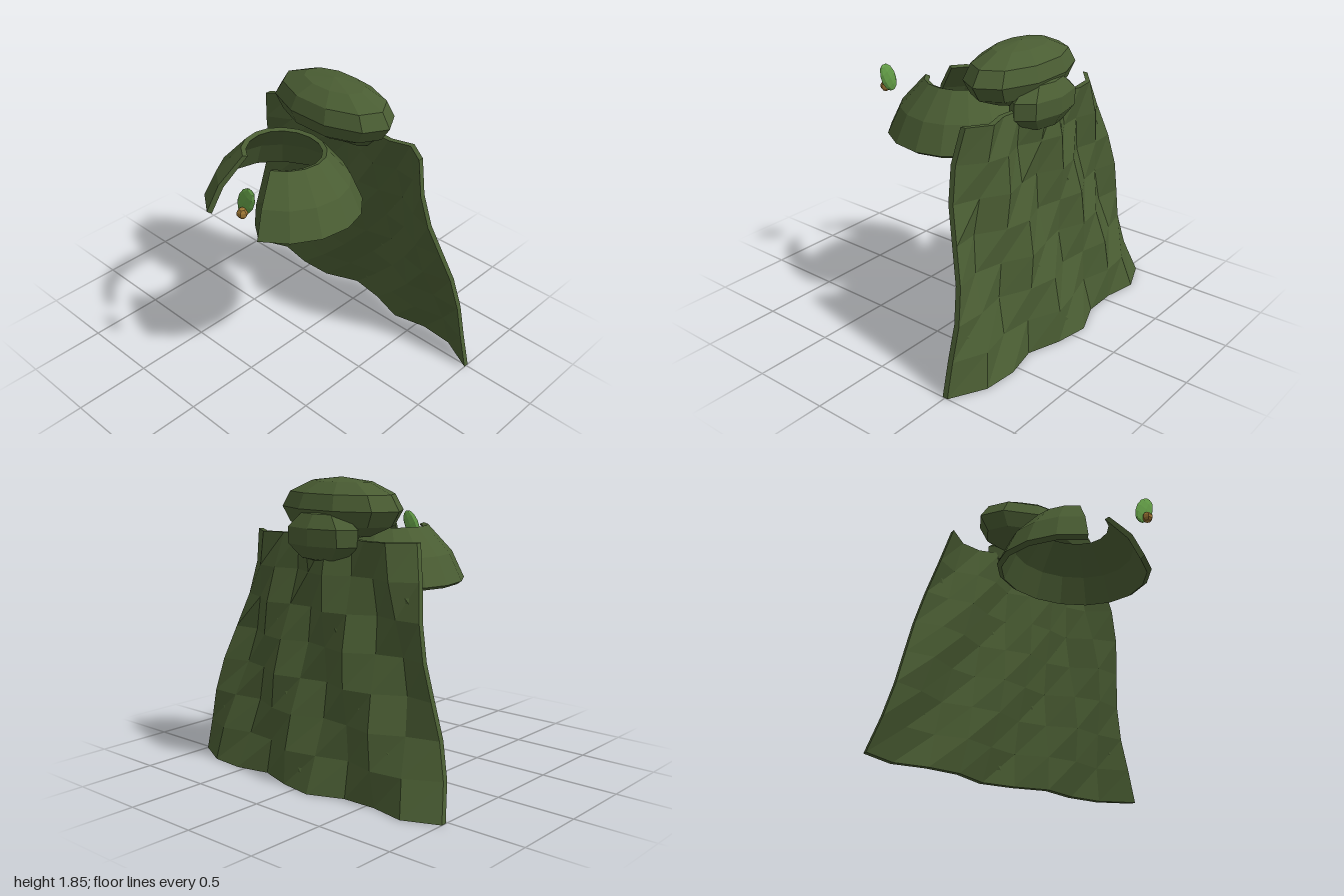
import * as THREE from 'three';

const paint = (name, color) => {
  const m = new THREE.MeshStandardMaterial({ color, flatShading: true, side: THREE.DoubleSide });
  m.name = name;
  return m;
};

// Applies a rule to every vertex of a geometry
function reshape(geometry, rule) {
  const p = geometry.attributes.position;
  const v = new THREE.Vector3();
  for (let i = 0; i < p.count; i++) {
    rule(v.fromBufferAttribute(p, i));
    p.setXYZ(i, v.x, v.y, v.z);
  }
  geometry.computeVertexNormals();
  return geometry;
}

export function createModel() {
  const model = new THREE.Group();
  const cloth = paint('moss green cloth', 0x4a5d33);
  const leafGreen = paint('leaf green', 0x65a048);
  const gold = paint('gold', 0x9a7434);

  const add = (name, geometry, material, parent = model) => {
    const mesh = new THREE.Mesh(geometry, material);
    mesh.name = name;
    parent.add(mesh);
    return mesh;
  };
  const ellipsoid = (name, material, w, h, size, pos) => {
    const mesh = add(name, new THREE.SphereGeometry(1, w, h), material);
    mesh.scale.set(...size);
    mesh.position.set(...pos);
    return mesh;
  };

  // Flared cape with diagonal travelling folds
  const cape = reshape(new THREE.BoxGeometry(2, 1, 0.035, 9, 7, 1), (p) => {
    const s = p.x;
    const v = 0.5 - p.y;
    const fold = 0.05 * Math.sin(8.5 * s + 7.2 * v - 2.05);
    const bulge = 0.1 * Math.cos(s * Math.PI / 2);
    p.x = s * (0.625 + 0.375 * v);
    p.y = 1.51 - 1.5 * v;
    p.z += -0.345 - 0.2 * Math.pow(v, 1.6) - bulge + fold;
  });
  add('cape', cape, cloth);

  // Hood roll and the smaller bundle behind it
  ellipsoid('hood', cloth, 10, 6, [0.445, 0.185, 0.245], [0, 1.67, -0.255]);
  ellipsoid('hoodBack', cloth, 8, 5, [0.29, 0.165, 0.145], [0, 1.515, -0.42]);

  // Shoulder mantle: thick open ring, slit at the front
  const mantle = new THREE.Group();
  mantle.name = 'mantle';
  mantle.position.z = 0.16;
  model.add(mantle);
  const profile = [[0.47, 1.18], [0.5, 1.2], [0.42, 1.37], [0.265, 1.54], [0.235, 1.53], [0.39, 1.35]]
    .map(([r, y]) => new THREE.Vector2(r, y));
  const slit = 0.45;
  const ring = new THREE.LatheGeometry([...profile, profile[0]], 14, slit, Math.PI * 2 - slit * 2);
  reshape(ring, (p) => { if (p.z < 0) p.z *= 0.86; });
  add('mantleCloth', ring, cloth, mantle);
  for (const side of [1, -1]) {
    const cap = add(side > 0 ? 'mantleEdgeLeft' : 'mantleEdgeRight',
      new THREE.ShapeGeometry(new THREE.Shape(profile)), cloth, mantle);
    cap.rotation.y = side * slit - Math.PI / 2;
  }

  // Leaf brooch with a gold bead
  const leaf = ellipsoid('leaf', leafGreen, 8, 6, [0.06, 0.106, 0.02], [0.187, 1.485, 0.655]);
  leaf.rotation.z = -0.5;
  ellipsoid('bead', gold, 6, 5, [0.034, 0.034, 0.034], [0.185, 1.42, 0.685]);

  return model;
}
